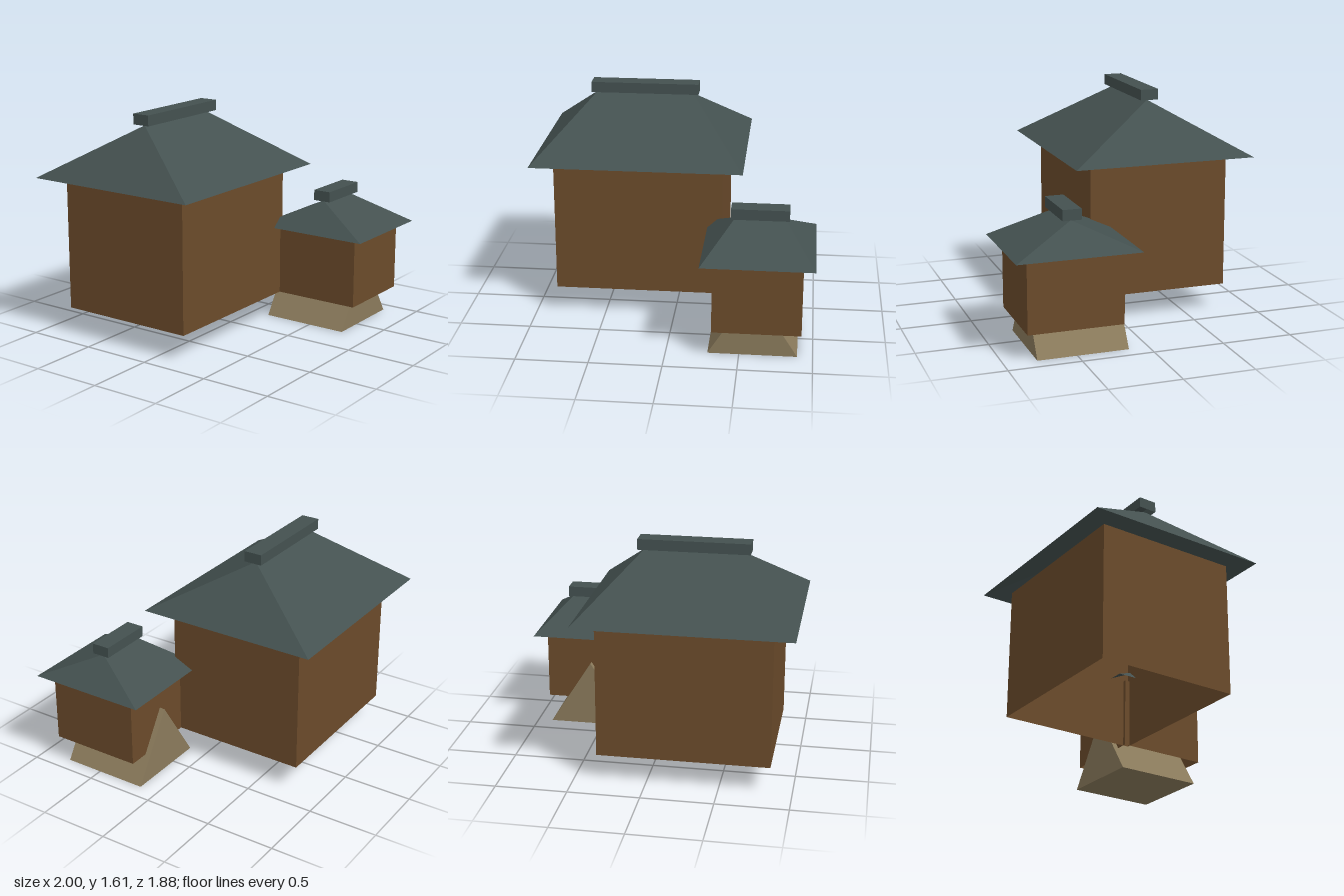
import * as THREE from 'three';

const material = (name, color) => {
  const m = new THREE.MeshStandardMaterial({ color, side: THREE.DoubleSide });
  m.name = name;
  return m;
};

// Box between two corners, keeping only some faces (0 +x, 1 -x, 2 +y, 3 -y, 4 +z, 5 -z).
// topX and topZ scale the upper rim inwards to make hips and wedges.
function block(name, mat, [x0, x1], [y0, y1], [z0, z1], faces, topX = 1, topZ = 1) {
  const geo = new THREE.BoxGeometry(x1 - x0, y1 - y0, z1 - z0);
  const all = Array.from(geo.index.array);
  geo.setIndex(faces.flatMap((f) => all.slice(f * 6, f * 6 + 6)));
  geo.clearGroups();
  const p = geo.attributes.position;
  for (let i = 0; i < p.count; i++) {
    if (p.getY(i) > 0) {
      p.setX(i, p.getX(i) * topX);
      p.setZ(i, p.getZ(i) * topZ);
    }
  }
  geo.computeVertexNormals();
  const mesh = new THREE.Mesh(geo, mat);
  mesh.name = name;
  mesh.position.set((x0 + x1) / 2, (y0 + y1) / 2, (z0 + z1) / 2);
  return mesh;
}

const SIDES = [0, 1, 4, 5];
const NO_BOTTOM = [0, 1, 2, 4, 5];
const NO_TOP = [0, 1, 3, 4, 5];

// Open-bottomed walls, a hollow hip roof and a ridge cap
function house(name, mats, { walls, roof, ridge, cap }) {
  const group = new THREE.Group();
  group.name = name;
  group.add(
    block('walls', mats.wood, ...walls, SIDES),
    block('hipRoof', mats.slate, ...roof, SIDES, ridge / (roof[0][1] - roof[0][0]), 0),
    block('ridgeCap', mats.slate, ...cap, NO_BOTTOM),
  );
  return group;
}

export function createModel() {
  const mats = {
    wood: material('brown wood', 0x6b4b2b),
    slate: material('slate roof', 0x445150),
    stone: material('tan stone', 0x8b7b5c),
  };
  const model = new THREE.Group();
  model.name = 'twoHouses';

  model.add(house('mainHouse', mats, {
    walls: [[-0.85, 0.34], [0.19, 1.145], [-0.79, 0.22]],
    roof: [[-1, 0.485], [1.145, 1.525], [-0.94, 0.365]],
    ridge: 0.69,
    cap: [[-0.64, 0.13], [1.53, 1.605], [-0.355, -0.225]],
  }));

  model.add(house('smallHouse', mats, {
    walls: [[0.315, 0.92], [0.19, 0.695], [0.18, 0.845]],
    roof: [[0.235, 1], [0.695, 0.895], [0.075, 0.935]],
    ridge: 0.335,
    cap: [[0.42, 0.815], [0.9, 0.975], [0.44, 0.57]],
  }));

  // Wedge whose upper part rises inside the small house
  model.add(block('wedgeBase', mats.stone, [0.285, 0.895], [0, 0.48], [0.14, 0.775], NO_TOP, 0));

  return model;
}
